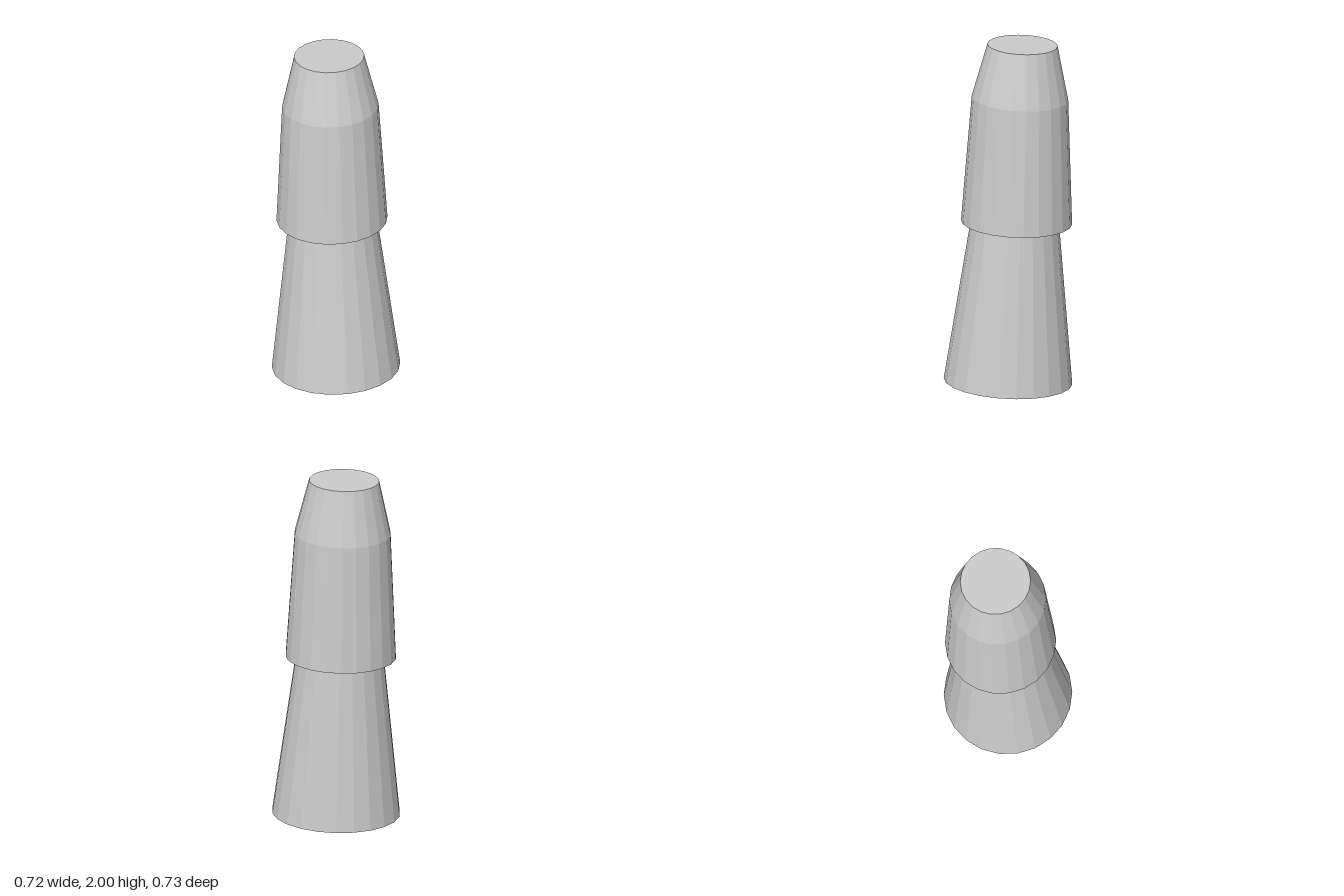
import * as THREE from 'three';

const SIDES = 22;
const material = new THREE.MeshStandardMaterial({ color: 0xcccccc, flatShading: true });

// Lathe whose rings are shifted and tilted: each ring is [radius, y, centre z, rise per unit z]
function leaningLathe(name, rings) {
  const lathe = new THREE.LatheGeometry(rings.map(([r, y]) => new THREE.Vector2(r, y)), SIDES);
  const pos = lathe.attributes.position;
  for (let i = 0; i < pos.count; i++) {
    const [, y, cz, slope] = rings[i % rings.length];
    const z = pos.getZ(i);
    pos.setXYZ(i, pos.getX(i) - 0.002, y + slope * z, z + cz);
  }
  const geometry = lathe.toNonIndexed();
  geometry.computeVertexNormals();
  const mesh = new THREE.Mesh(geometry, material);
  mesh.name = name;
  return mesh;
}

export function createModel() {
  const group = new THREE.Group();
  group.name = 'taperedPeg';

  // Flared foot, narrowing up to the collar
  group.add(leaningLathe('flaredBase', [
    [0, 0.018, 0, 0.049],
    [0.362, 0.018, 0, 0.049],
    [0.25, 0.945, -0.04, 0.04],
  ]));

  // Overhanging sleeve with a bevelled shoulder and flat top
  group.add(leaningLathe('upperSleeve', [
    [0.25, 0.945, -0.04, 0.04],
    [0.313, 0.95, -0.05, 0.04],
    [0.272, 1.68, -0.07, 0.05],
    [0.198, 1.992, -0.085, 0.04],
    [0, 1.992, -0.085, 0.04],
  ]));

  return group;
}
